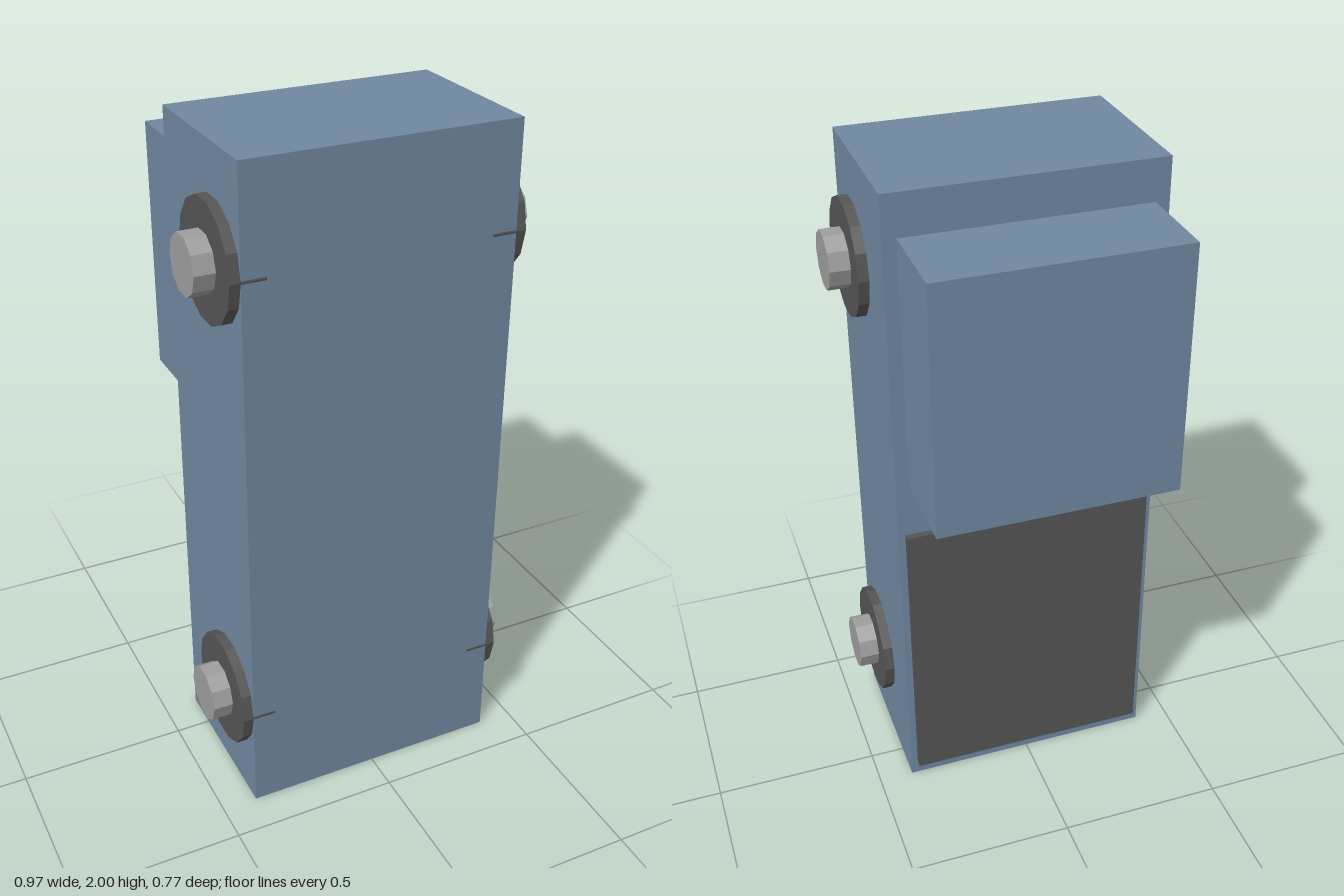
import * as THREE from 'three';

function material(name, color) {
  const m = new THREE.MeshStandardMaterial({ color, flatShading: true });
  m.name = name;
  return m;
}

export function createModel() {
  const paint = material('blue paint', 0x7087a0);
  const rubber = material('dark rubber', 0x555555);
  const metal = material('grey metal', 0x9e9e9e);
  const model = new THREE.Group();
  model.name = 'pickupTruck';

  // Box given by its limits along each axis, symmetric in x
  function box(name, mat, halfX, y0, y1, z0, z1) {
    const mesh = new THREE.Mesh(new THREE.BoxGeometry(halfX * 2, y1 - y0, z1 - z0), mat);
    mesh.position.set(0, (y0 + y1) / 2, (z0 + z1) / 2);
    mesh.name = name;
    model.add(mesh);
  }

  // The truck stands on its tail: roof towards -z, nose up
  box('body', paint, 0.395, 0, 2, -0.116, 0.385);
  box('cab', paint, 0.355, 1.128, 1.877, -0.386, -0.116);
  box('bedLiner', rubber, 0.374, 0.043, 0.957, -0.137, -0.1);

  // Disc with its axle along x, reaching from x0 to x1
  function disc(name, mat, radius, sides, x0, x1) {
    const geo = new THREE.CylinderGeometry(radius, radius, x1 - x0, sides);
    geo.rotateZ(-Math.PI / 2);
    const mesh = new THREE.Mesh(geo, mat);
    mesh.position.x = (x0 + x1) / 2;
    mesh.name = name;
    return mesh;
  }

  // Four wheels with protruding hubs
  for (const [end, y] of [['front', 1.691], ['rear', 0.316]]) {
    for (const [side, turn] of [['Left', 0], ['Right', Math.PI]]) {
      const wheel = new THREE.Group();
      wheel.name = `${end}${side}Wheel`;
      wheel.add(disc('tyre', rubber, 0.1705, 14, 0.325, 0.425));
      wheel.add(disc('hub', metal, 0.085, 10, 0.365, 0.484));
      wheel.position.set(0, y, 0.2155);
      wheel.rotation.y = turn;
      model.add(wheel);
    }
  }
  return model;
}
